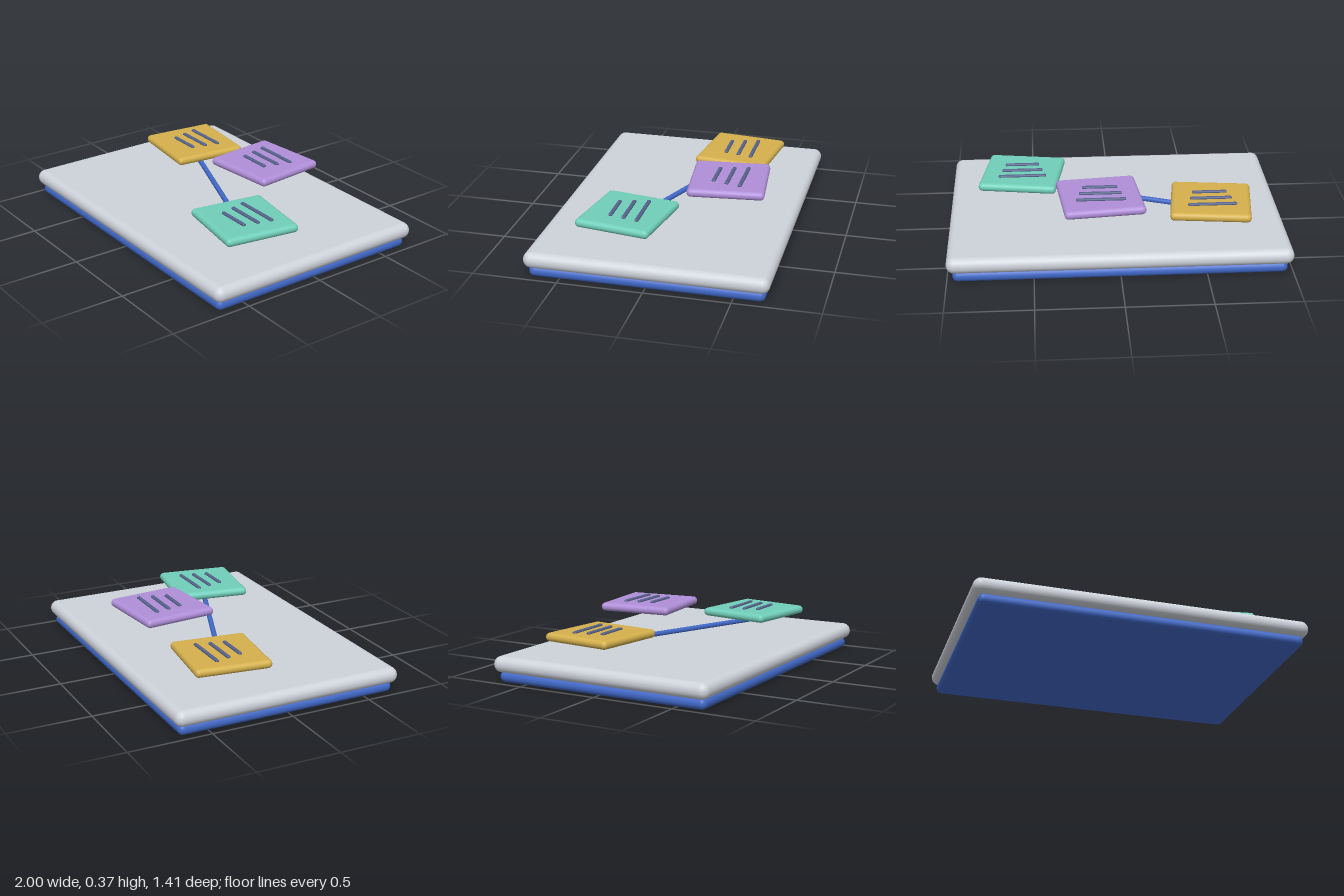
import * as THREE from 'three';
import { RoundedBoxGeometry } from 'three/addons/geometries/RoundedBoxGeometry.js';

const mat = (name, color) => {
  const m = new THREE.MeshStandardMaterial({ color });
  m.name = name;
  return m;
};

// Rounded slab centred at x, z with its underside at y
function slab(name, [w, h, d], radius, material, [x, y, z], turn = 0) {
  const mesh = new THREE.Mesh(new RoundedBoxGeometry(w, h, d, 5, radius), material);
  mesh.name = name;
  mesh.position.set(x, y + h / 2, z);
  mesh.rotation.y = turn;
  return mesh;
}

export function createModel() {
  const model = new THREE.Group();
  model.name = 'noteBoard';

  const blue = mat('blue', 0x4169c8);
  const grey = mat('light grey', 0xced2da);
  const ink = mat('slate ink', 0x56628a);

  // Board on its blue base
  model.add(slab('base', [1.934, 0.066, 1.36], 0.032, blue, [0, 0, 0]));
  model.add(slab('board', [2, 0.096, 1.412], 0.047, grey, [0, 0.06, 0]));

  const notes = [
    { name: 'yellowNote', material: mat('yellow', 0xd4b04c), at: [-0.565, 0.227, -0.232], turn: -0.12 },
    { name: 'purpleNote', material: mat('purple', 0xb08fd9), at: [0.1, 0.309, -0.296], turn: 0.1 },
    { name: 'tealNote', material: mat('teal', 0x70cfba), at: [0.56, 0.237, 0.205], turn: -0.16 },
  ];

  // Floating notes: the card is turned, its ruled lines stay square to the board
  for (const { name, material, at: [x, y, z], turn } of notes) {
    const note = new THREE.Group();
    note.name = name;
    note.position.set(x, y, z);
    note.add(slab('card', [0.476, 0.051, 0.458], 0.025, material, [0, 0, 0], turn));
    [0.292, 0.25, 0.21].forEach((length, i) => {
      note.add(slab('textLine', [length, 0.017, 0.023], 0.008, ink, [0, 0.046, -0.091 + i * 0.083]));
    });
    model.add(note);
  }

  // Connector bar between the yellow and teal notes
  const dx = 1.125, dz = 0.437;
  model.add(slab('connector', [Math.hypot(dx, dz), 0.028, 0.03], 0.012, blue,
    [-0.002, 0.195, -0.01], -Math.atan2(dz, dx)));

  return model;
}
